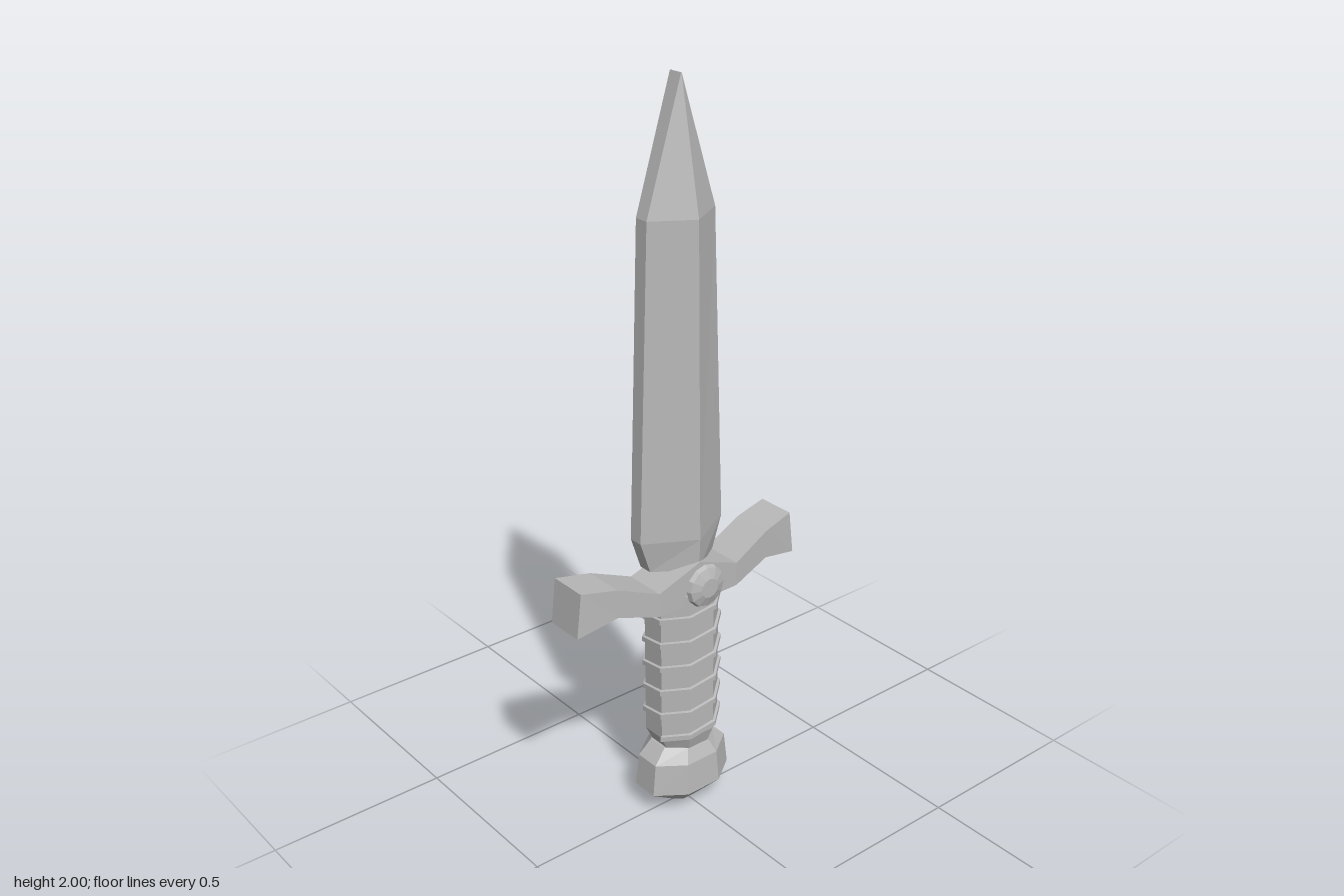
import * as THREE from 'three';

// Skin over equal-sized rings of points, each counter-clockwise seen from the far end
function loft(rings) {
  const n = rings[0].length, last = rings.length - 1, index = [];
  for (let i = 0; i < last; i++) {
    for (let j = 0; j < n; j++) {
      const a = i * n + j, b = i * n + (j + 1) % n, c = b + n, d = a + n;
      index.push(a, b, c, a, c, d);
    }
  }
  for (let j = 1; j < n - 1; j++) {
    index.push(0, j + 1, j);
    index.push(last * n, last * n + j, last * n + j + 1);
  }
  const g = new THREE.BufferGeometry();
  g.setAttribute('position', new THREE.Float32BufferAttribute(rings.flat(2), 3));
  g.setIndex(index);
  const flat = g.toNonIndexed();
  flat.computeVertexNormals();
  return flat;
}

const HANDLE_Z = -0.01;
const CORNER = 1 / Math.cos(Math.PI / 8);

// Point on an eight-sided oval around the handle axis
const oval = (t, rx, rz, y) => [Math.cos(t) * rx * CORNER, y, HANDLE_Z - Math.sin(t) * rz * CORNER];

// Eight-sided solid from [y, half width, half depth] rows
const turned = rows => loft(rows.map(([y, rx, rz]) =>
  Array.from({ length: 8 }, (_, k) => oval((k + 0.5) * Math.PI / 4, rx, rz, y))));

export function createModel() {
  const group = new THREE.Group();
  const steel = new THREE.MeshStandardMaterial({ color: 0xb8b8b8, flatShading: true });
  steel.name = 'grey steel';
  const add = (name, geometry) => {
    const mesh = new THREE.Mesh(geometry, steel);
    mesh.name = name;
    group.add(mesh);
    return mesh;
  };

  // Blade: front ridge, squared edges, hollow back; rows are [y, half width, ridge z, hollow z]
  add('blade', loft([
    [0.74, 0.105, 0.06, 0.01],
    [0.83, 0.135, 0.065, 0.01],
    [1.67, 0.105, 0.055, 0.005],
    [2.0, 0.001, -0.01, -0.045],
  ].map(([y, w, ridge, hollow]) => [
    [0, y, hollow], [-w, y, -0.05], [-w, y, -0.01],
    [0, y, ridge], [w, y, -0.01], [w, y, -0.05],
  ])));

  // Crossguard: rows are [top x, bottom x, bottom y, top y, front z, back z at top]
  const half = [
    [0, 0, 0.65, 0.765, 0.065, -0.05],
    [0.13, 0.13, 0.648, 0.715, 0.06, -0.06],
    [0.25, 0.25, 0.682, 0.762, 0.042, -0.073],
    [0.35, 0.365, 0.655, 0.778, 0.025, -0.085],
  ];
  const mirrored = half.slice(1).reverse().map(([a, b, ...rest]) => [-a, -b, ...rest]);
  add('crossguard', loft([...mirrored, ...half].map(([xt, xb, yb, yt, front, back]) => [
    [xb, yb, -0.085], [xt, yt, back], [xt, yt, front], [xb, yb, front],
  ])));

  // Round stud on the front of the guard
  const stud = add('guardStud', new THREE.LatheGeometry(
    [[0, -0.02], [0.035, -0.02], [0.06, 0], [0.055, 0.012], [0.027, 0.022], [0, 0.022]]
      .map(p => new THREE.Vector2(...p)), 12));
  stud.rotation.x = Math.PI / 2;
  stud.position.set(0, 0.705, 0.083);

  // Grip and pommel
  add('grip', turned([[0.19, 0.075, 0.068], [0.24, 0.098, 0.083], [0.68, 0.098, 0.083]]));
  add('pommel', turned([[0, 0.04, 0.03], [0.068, 0.132, 0.094], [0.16, 0.122, 0.088], [0.2, 0.085, 0.07]]));

  // Raised binding spiralling up the grip
  const binding = [];
  for (let k = 0; k <= 43; k++) {
    const t = Math.PI + (k + 0.5) * Math.PI / 4;
    const y = 0.24 + k / 8 * 0.073;
    binding.push([
      oval(t, 0.09, 0.075, y - 0.011), oval(t, 0.09, 0.075, y + 0.011),
      oval(t, 0.105, 0.09, y + 0.007), oval(t, 0.105, 0.09, y - 0.007),
    ]);
  }
  add('gripBinding', loft(binding));

  return group;
}
